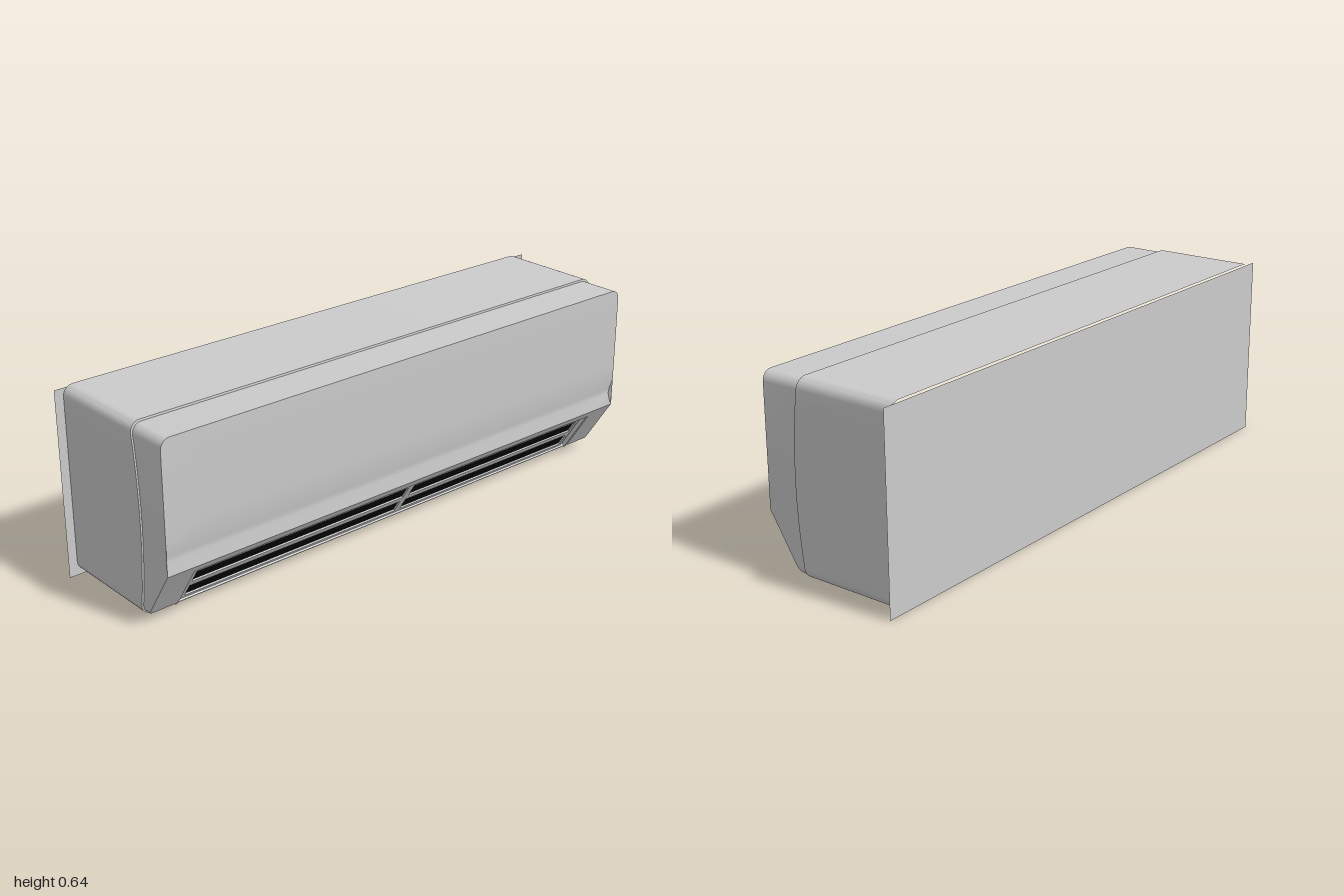
import * as THREE from 'three';
import { toCreasedNormals } from 'three/addons/utils/BufferGeometryUtils.js';

const grey = new THREE.MeshStandardMaterial({ color: 0xcccccc });
const greyThin = new THREE.MeshStandardMaterial({ color: 0xcccccc, side: THREE.DoubleSide });
const black = new THREE.MeshStandardMaterial({ color: 0x080808 });

// opening for the air outlet
const MOUTH = { x: 0.86, y0: 0.02, y1: 0.175 };

// piecewise linear curve through [position, value] points
const curve = (pts) => (t) => {
  if (t <= pts[0][0]) return pts[0][1];
  for (let i = 1; i < pts.length; i++) {
    const [a, va] = pts[i - 1], [b, vb] = pts[i];
    if (t <= b) return va + (vb - va) * (t - a) / (b - a);
  }
  return pts[pts.length - 1][1];
};

// Rounded-rectangle shell running from zBack to a front skin z = front(y), with the mouth left open
function shell({ half, y0, y1, r, zBack, front, groove, levels }) {
  const ys = [...levels, MOUTH.y0, MOUTH.y1];
  for (let i = 0; i <= 6; i++) {
    const d = r * (1 - Math.cos(i / 6 * Math.PI / 2));
    ys.push(y0 + d, y1 - d);
  }
  ys.sort((a, b) => a - b);
  const width = (y) => {
    const d = Math.max(0, r - Math.min(y - y0, y1 - y));
    return half - r + Math.sqrt(Math.max(0, r * r - d * d));
  };
  const rows = ys.filter((y, i) => i === 0 || y - ys[i - 1] > 1e-5).map((y) => {
    const w = width(y), z = front(y), zi = z - groove(y);
    const cols = [[-w, z], [-w + 0.006, zi], [-MOUTH.x, zi], [MOUTH.x, zi], [w - 0.006, zi], [w, z]];
    return { y, w, z, pts: cols.map(([x, zz]) => [x, y, zz]) };
  });

  const pos = [];
  const quad = (a, b, c, d) => pos.push(...a, ...b, ...c, ...a, ...c, ...d);
  for (let i = 1; i < rows.length; i++) {
    const p = rows[i - 1], q = rows[i];
    const mid = (p.y + q.y) / 2;
    for (let k = 0; k < 5; k++) {
      if (k === 2 && mid > MOUTH.y0 && mid < MOUTH.y1) continue;
      quad(p.pts[k], p.pts[k + 1], q.pts[k + 1], q.pts[k]);
    }
    quad([p.w, p.y, p.z], [p.w, p.y, zBack], [q.w, q.y, zBack], [q.w, q.y, q.z]);
    quad([-p.w, p.y, zBack], [-p.w, p.y, p.z], [-q.w, q.y, q.z], [-q.w, q.y, zBack]);
  }
  const b = rows[0], t = rows[rows.length - 1];
  quad([-b.w, b.y, zBack], [b.w, b.y, zBack], [b.w, b.y, b.z], [-b.w, b.y, b.z]);
  quad([-t.w, t.y, t.z], [t.w, t.y, t.z], [t.w, t.y, zBack], [-t.w, t.y, zBack]);

  const g = new THREE.BufferGeometry();
  g.setAttribute('position', new THREE.Float32BufferAttribute(pos, 3));
  return toCreasedNormals(g, 0.5);
}

function rectPath(Type, x0, y0, x1, y1) {
  const p = new Type();
  p.moveTo(x0, y0).lineTo(x1, y0).lineTo(x1, y1).lineTo(x0, y1).closePath();
  return p;
}

export function createModel() {
  const group = new THREE.Group();
  const add = (parent, name, geometry, material, x = 0, y = 0, z = 0) => {
    const m = new THREE.Mesh(geometry, material);
    m.name = name;
    m.position.set(x, y, z);
    parent.add(m);
    return m;
  };

  // thin wall plate
  add(group, 'wallPlate', new THREE.PlaneGeometry(2, 0.635), greyThin, 0, 0.3175, -0.25);

  // rear housing with a bowed front edge
  add(group, 'housing', shell({
    half: 0.97, y0: 0.013, y1: 0.642, r: 0.035, zBack: -0.249,
    front: (y) => 0.132 - 0.025 * ((y - 0.325) / 0.31) ** 2,
    groove: () => 0,
    levels: [0.1, 0.25, 0.32, 0.4, 0.48, 0.55],
  }), grey);

  // front cover: flat panel, shallow groove over a lip, sloping underside
  add(group, 'frontCover', shell({
    half: 0.964, y0: 0.0145, y1: 0.635, r: 0.033, zBack: 0.08,
    front: curve([[0.0145, 0.107], [0.02, 0.125], [0.03, 0.14], [0.17, 0.23], [0.2, 0.25]]),
    groove: curve([[0.2, 0], [0.205, 0], [0.24, 0.012], [0.26, 0.009], [0.3, 0.003], [0.35, 0]]),
    levels: [0.03, 0.1, 0.17, 0.2, 0.205, 0.24, 0.26, 0.3, 0.35],
  }), grey);

  // air outlet, tilted to lie along the sloping underside
  const outlet = new THREE.Group();
  outlet.name = 'airOutlet';
  outlet.position.set(0, 0.097, 0.182);
  outlet.rotation.x = Math.atan2(0.09, 0.14);
  group.add(outlet);

  // recess walls
  for (const s of [-1, 1]) {
    add(outlet, 'recessEnd', new THREE.BoxGeometry(0.006, 0.186, 0.024), grey, s * 0.862, 0, -0.014);
    add(outlet, 'recessEdge', new THREE.BoxGeometry(1.724, 0.004, 0.02), grey, 0, s * 0.092, -0.016);
  }
  add(outlet, 'recessBack', new THREE.BoxGeometry(1.724, 0.186, 0.004), grey, 0, 0, -0.025);

  // grille frame with four slots over a dark interior
  const frame = rectPath(THREE.Shape, -0.845, -0.088, 0.845, 0.084);
  for (const [x0, x1] of [[-0.83, 0.02], [0.045, 0.83]]) {
    for (const [y0, y1] of [[-0.075, -0.021], [0.003, 0.057]]) {
      frame.holes.push(rectPath(THREE.Path, x0, y0, x1, y1));
    }
  }
  add(outlet, 'grilleFrame',
    new THREE.ExtrudeGeometry(frame, { depth: 0.006, bevelEnabled: false }), grey, 0, 0, -0.018);
  add(outlet, 'darkInterior', new THREE.BoxGeometry(1.68, 0.16, 0.004), black, 0, -0.002, -0.0195);

  return group;
}
